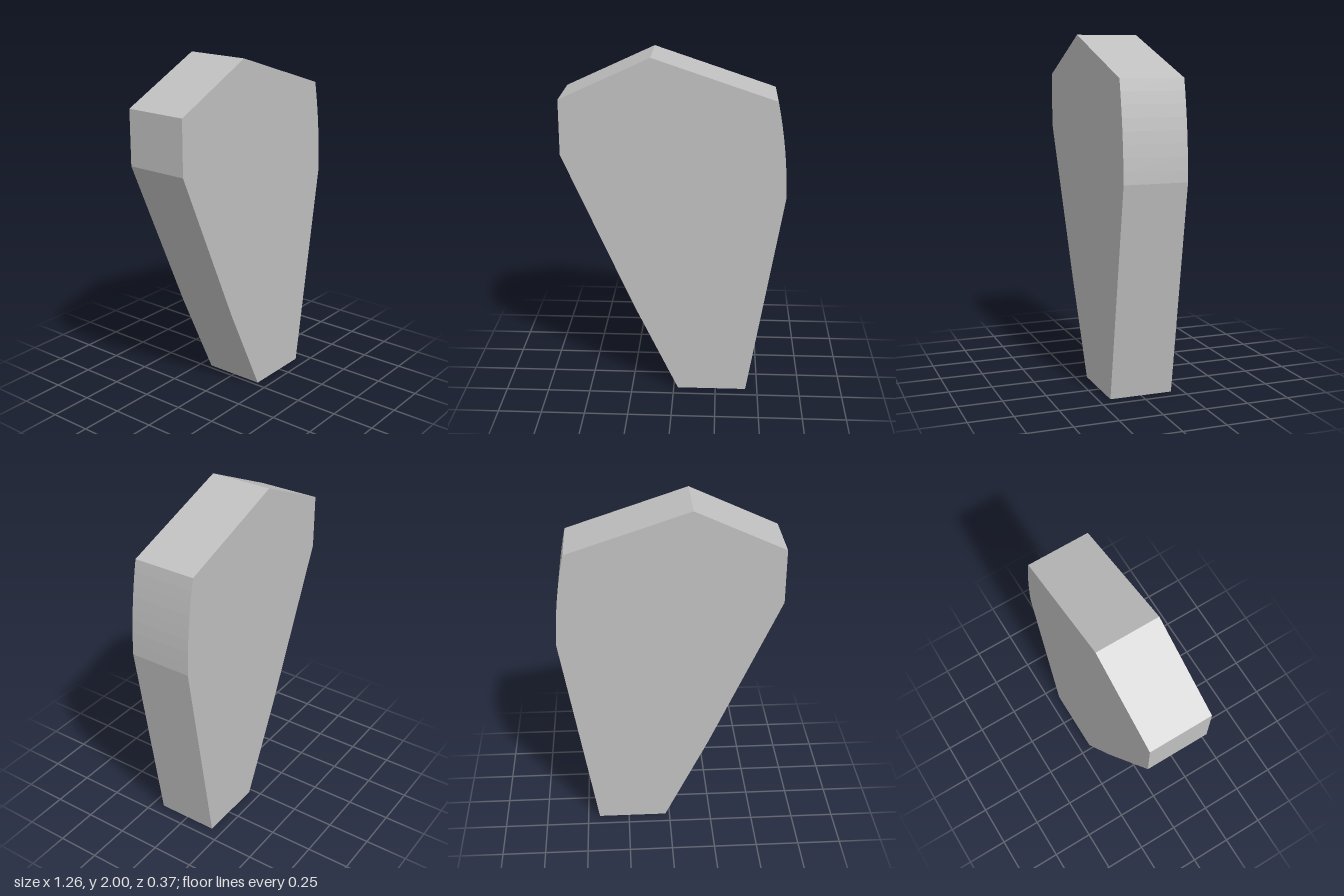
import * as THREE from 'three';

export function createModel() {
  const group = new THREE.Group();
  group.name = 'taperedSlab';
  const grey = new THREE.MeshStandardMaterial({ color: 0xc0c0c0 });
  grey.name = 'grey';

  // Outline: narrow foot, bowed left edge, peaked top, slightly bent right edge
  const outline = new THREE.Shape();
  outline.moveTo(0.025, 0);
  outline.lineTo(0.43, 0);
  outline.lineTo(0.63, 1.22);
  outline.quadraticCurveTo(0.625, 1.5, 0.567, 1.768);
  outline.lineTo(-0.125, 2);
  outline.lineTo(-0.633, 1.766);
  outline.lineTo(-0.633, 1.453);
  outline.lineTo(-0.23, 0.535);
  outline.closePath();

  // Even thickness, centred on z
  const depth = 0.365;
  const geometry = new THREE.ExtrudeGeometry(outline, { depth, bevelEnabled: false, curveSegments: 8 });
  geometry.translate(0, 0, -depth / 2);

  const slab = new THREE.Mesh(geometry, grey);
  slab.name = 'slab';
  group.add(slab);
  return group;
}
